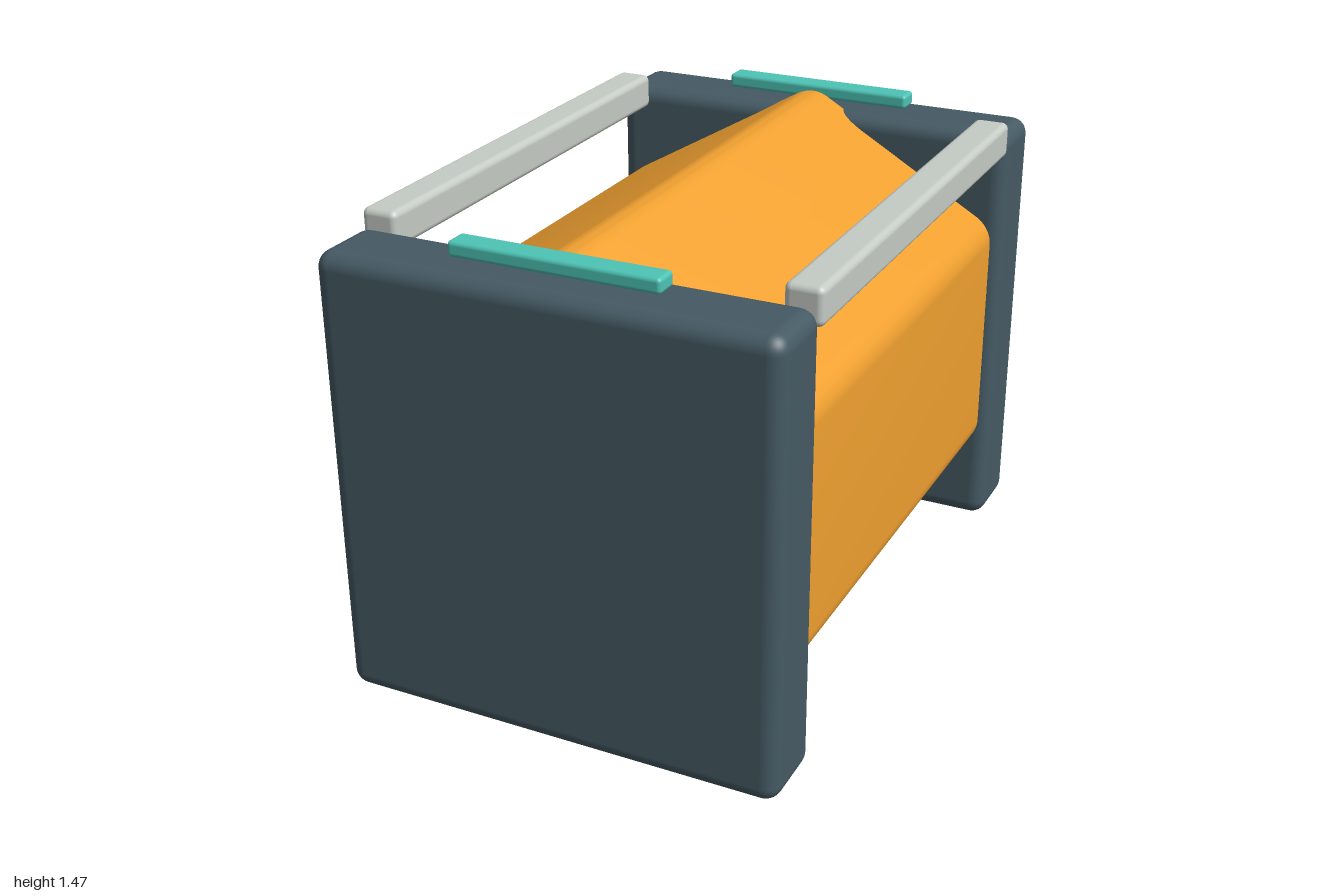
import * as THREE from 'three';
import { toCreasedNormals } from 'three/addons/utils/BufferGeometryUtils.js';
import { RoundedBoxGeometry } from 'three/addons/geometries/RoundedBoxGeometry.js';

const slate = new THREE.MeshStandardMaterial({ color: 0x455a64 });
const amber = new THREE.MeshStandardMaterial({ color: 0xf0a030 });
const paleGrey = new THREE.MeshStandardMaterial({ color: 0xc5cbc5 });
const teal = new THREE.MeshStandardMaterial({ color: 0x4dc4b5 });

// Rounded box given by its size and centre
function block(name, material, [w, h, d], [x, y, z], radius) {
  const mesh = new THREE.Mesh(new RoundedBoxGeometry(w, h, d, 4, radius), material);
  mesh.name = name;
  mesh.position.set(x, y, z);
  return mesh;
}

// Hexagon standing on a corner, each corner rounded by an arc
function roundedHexagon(radius, corner) {
  const shape = new THREE.Shape();
  const centre = radius - corner / Math.cos(Math.PI / 6);
  for (let i = 0; i < 6; i++) {
    const a = Math.PI / 2 + (i * Math.PI) / 3;
    shape.absarc(Math.cos(a) * centre, Math.sin(a) * centre, corner, a - Math.PI / 6, a + Math.PI / 6, false);
  }
  shape.closePath();
  return shape;
}

export function createModel() {
  const model = new THREE.Group();
  model.name = 'hexagonalDrumFrame';

  // Six-sided drum lying along z, its ends sunk into the panels
  const bevel = 0.05;
  const length = 1.69;
  const drumGeometry = new THREE.ExtrudeGeometry(roundedHexagon(0.745, 0.1), {
    depth: length - 2 * bevel,
    curveSegments: 6,
    bevelEnabled: true,
    bevelThickness: bevel,
    bevelSize: bevel,
    bevelOffset: -bevel,
    bevelSegments: 5,
  });
  drumGeometry.translate(0, 0, -(length / 2 - bevel));
  const drum = new THREE.Mesh(toCreasedNormals(drumGeometry, 0.6), amber);
  drum.name = 'drum';
  drum.position.y = 0.735;
  model.add(drum);

  // End panels with a strip above each
  for (const [side, s] of [['front', 1], ['back', -1]]) {
    model.add(block(side + 'Panel', slate, [1.36, 1.36, 0.245], [0, 0.735, s * 0.8775], 0.05));
    model.add(block(side + 'Strip', teal, [0.62, 0.045, 0.075], [0, 1.4525, s * 0.8725], 0.012));
  }

  // Rails joining the panels along the top
  for (const [side, s] of [['left', 1], ['right', -1]]) {
    model.add(block(side + 'Rail', paleGrey, [0.11, 0.11, 1.52], [s * 0.627, 1.405, 0], 0.02));
  }

  return model;
}
